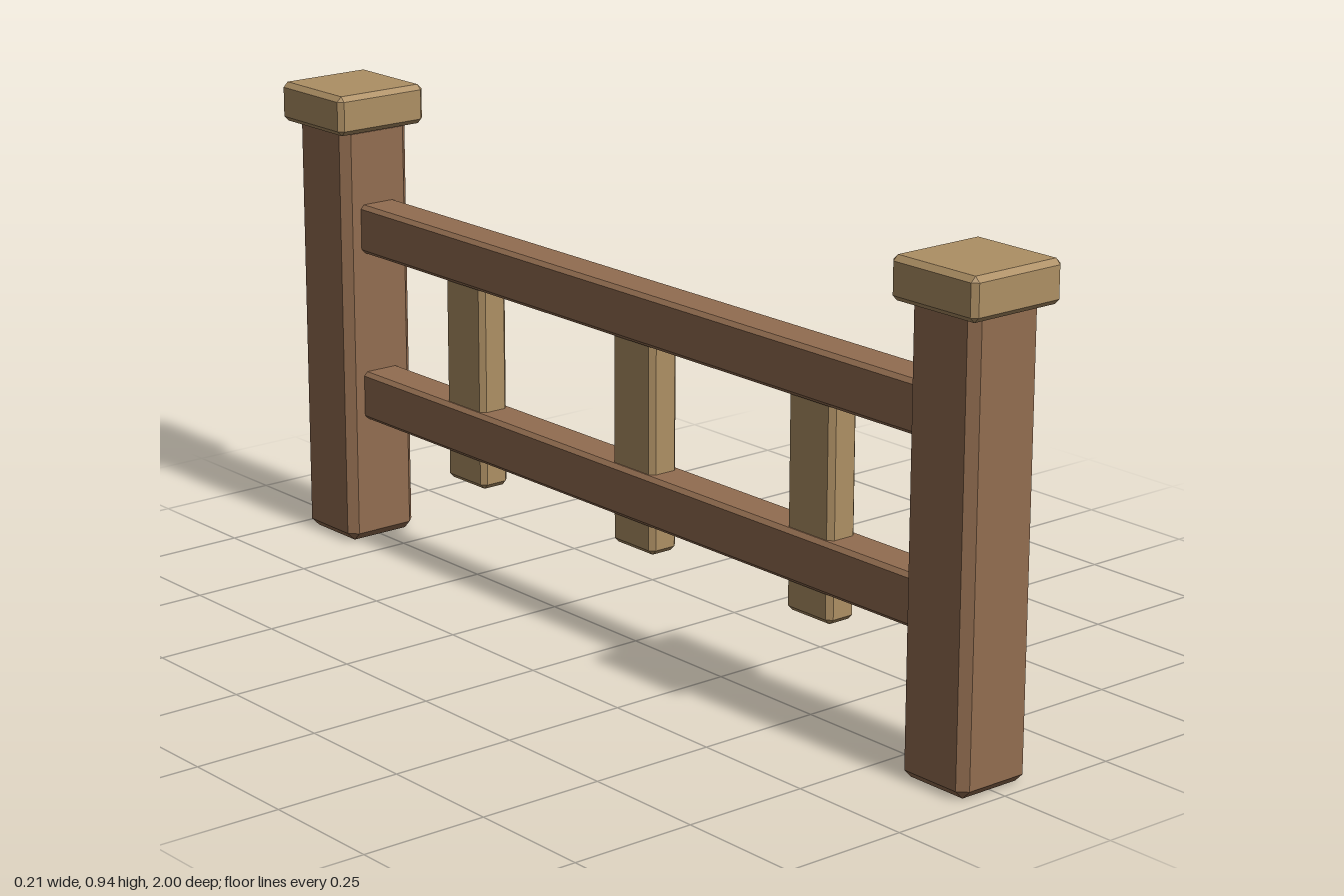
import * as THREE from 'three';
import { ConvexGeometry } from 'three/addons/geometries/ConvexGeometry.js';

// Box with flat chamfered edges and corners
function chamferBox(w, h, d, c) {
  const points = [];
  for (const sx of [-1, 1]) for (const sy of [-1, 1]) for (const sz of [-1, 1]) {
    for (let axis = 0; axis < 3; axis++) {
      const inset = [c, c, c];
      inset[axis] = 0;
      points.push(new THREE.Vector3(
        sx * (w / 2 - inset[0]), sy * (h / 2 - inset[1]), sz * (d / 2 - inset[2])));
    }
  }
  return new ConvexGeometry(points);
}

export function createModel() {
  const model = new THREE.Group();
  model.name = 'fence';

  const brownWood = new THREE.MeshStandardMaterial({ color: 0x926d50 });
  brownWood.name = 'brown wood';
  const tanWood = new THREE.MeshStandardMaterial({ color: 0xad8f64 });
  tanWood.name = 'tan wood';

  const add = (name, geometry, material, y, z) => {
    const mesh = new THREE.Mesh(geometry, material);
    mesh.name = name;
    mesh.position.set(0, y, z);
    model.add(mesh);
  };

  // End posts with caps
  const post = chamferBox(0.162, 0.875, 0.162, 0.017);
  const cap = chamferBox(0.208, 0.08, 0.206, 0.01);
  for (const [side, s] of [['front', 1], ['back', -1]]) {
    add(side + 'Post', post, brownWood, 0.4375, s * 0.897);
    add(side + 'PostCap', cap, tanWood, 0.902, s * 0.897);
  }

  // Horizontal rails, ends set into the posts
  const rail = chamferBox(0.086, 0.1, 1.67, 0.008);
  add('upperRail', rail, brownWood, 0.66, 0);
  add('lowerRail', rail, brownWood, 0.31, 0);

  // Upright slats, unevenly spaced, running through the lower rail
  const slat = chamferBox(0.065, 0.47, 0.12, 0.01);
  [0.521, 0.027, -0.493].forEach((z, i) => add('slat' + (i + 1), slat, tanWood, 0.435, z));

  return model;
}
